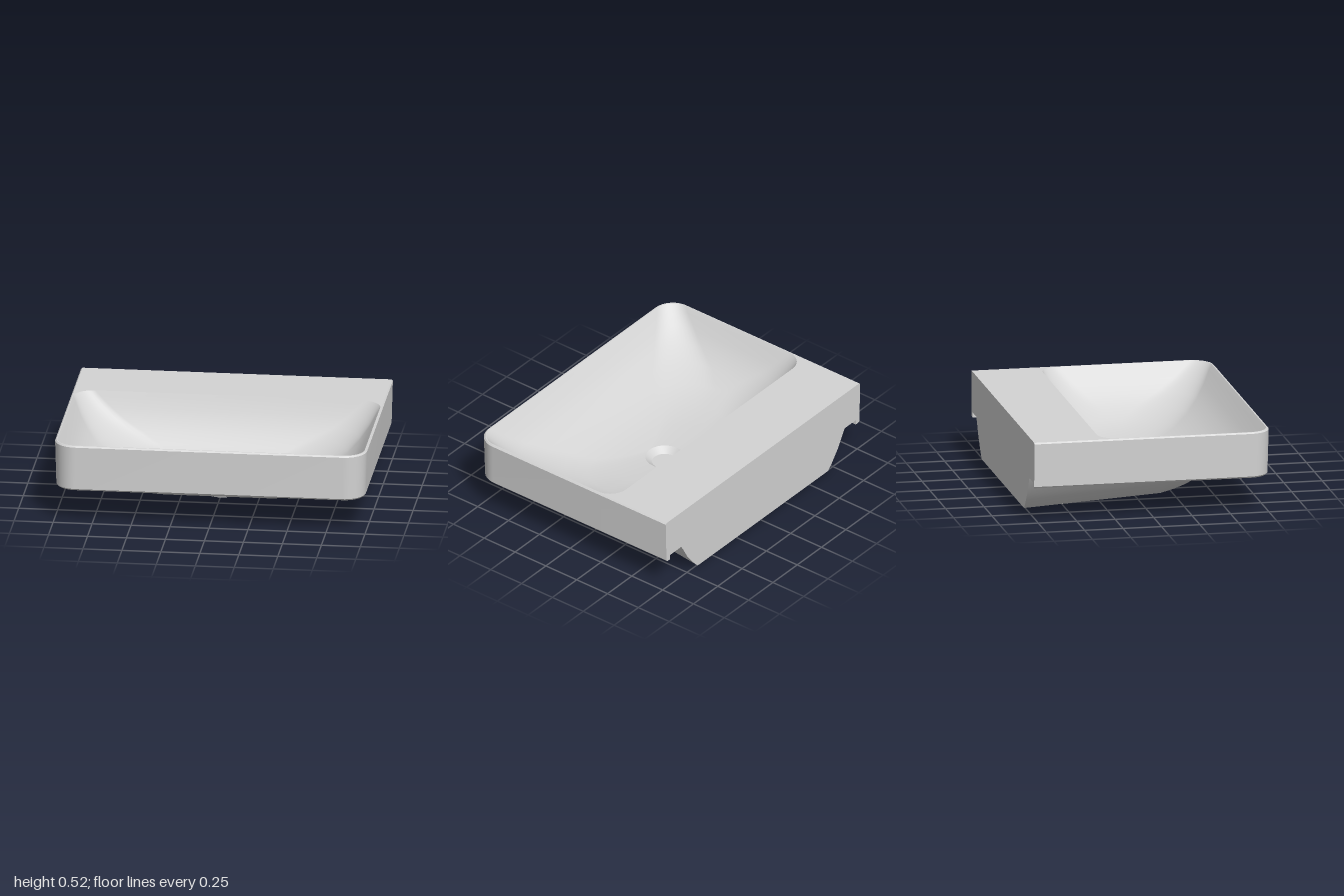
import * as THREE from 'three';
import { toCreasedNormals } from 'three/addons/utils/BufferGeometryUtils.js';

const BACK = -0.775, FRONT = 0.775, TOP = 0.525, LEDGE = 0.258;

// Corner arc in plan, points [x, z]
function arc(cx, cz, r, from, steps = 12) {
  return Array.from({ length: steps + 1 }, (_, i) => {
    const a = from + (i / steps) * Math.PI / 2;
    return [cx + r * Math.cos(a), cz + r * Math.sin(a)];
  });
}

// Plan outline running round the front, open at the square back, which may be wider
function openPath(hw, zf, r, hwBack = hw) {
  return [[hwBack, BACK], ...arc(hw - r, zf - r, r, 0), ...arc(r - hw, zf - r, r, Math.PI / 2), [-hwBack, BACK]];
}

// Closed rounded rectangle in plan
function closedPath(hw, zb, zf, r) {
  const p = [...arc(hw - r, zf - r, r, 0), ...arc(r - hw, zf - r, r, Math.PI / 2),
    ...arc(r - hw, zb + r, r, Math.PI), ...arc(hw - r, zb + r, r, Math.PI * 1.5)];
  return [...p, p[0]];
}

// Skin between successive rings of [x, y, z]
function loft(rings, crease) {
  const n = rings[0].length, index = [];
  for (let i = 0; i < rings.length - 1; i++) {
    for (let j = 0; j < n - 1; j++) {
      const a = i * n + j, b = a + n;
      index.push(a, b, a + 1, b, b + 1, a + 1);
    }
  }
  const g = new THREE.BufferGeometry();
  g.setAttribute('position', new THREE.Float32BufferAttribute(rings.flat(2), 3));
  g.setIndex(index);
  return toCreasedNormals(g, crease);
}

const toShape = (pts) => new THREE.Shape(pts.map(([x, y]) => new THREE.Vector2(x, y)));
const atHeight = (path, y) => path.map(([x, z]) => [x, y, z]);

// Underside height of the belly: nearly level, rising towards the front
const bottomY = (z) => (z < 0.13 ? 0.021 + (z - BACK) * 0.022 : 0.041 + (z - 0.13) * 0.18);

// Flat downward sheet in plan, raised by a height rule
function underSheet(pts, heightAt, hole) {
  const s = toShape(pts);
  if (hole) s.holes.push(toShape(hole));
  const g = new THREE.ShapeGeometry(s).rotateX(Math.PI / 2);
  const p = g.attributes.position;
  for (let i = 0; i < p.count; i++) p.setY(i, heightAt(p.getZ(i)));
  g.computeVertexNormals();
  return g;
}

export function createModel() {
  const model = new THREE.Group();
  model.name = 'washbasin';
  const ceramic = new THREE.MeshStandardMaterial({ color: 0xd4d4d4, side: THREE.DoubleSide });
  ceramic.name = 'grey ceramic';
  const add = (name, geometry) => {
    const mesh = new THREE.Mesh(geometry, ceramic);
    mesh.name = name;
    model.add(mesh);
    return mesh;
  };

  // Outer apron with the lip beneath and the softened top edge: [inset, y]
  const apron = [[0.045, LEDGE], [0.045, 0.225], [0.016, 0.225], [0.008, 0.235], [0, 0.516], [0.009, TOP]];
  const apronPath = (inset) => openPath(1 - inset, FRONT - inset, 0.145 - inset);
  add('apron', loft(apron.map(([inset, y]) => atHeight(apronPath(inset), y)), 0.3));

  // Bowl: [half width, back z, front z, corner radius, y], ending at the drain
  const bowl = [
    [0.985, -0.34, 0.758, 0.13, TOP], [0.965, -0.33, 0.735, 0.14, 0.495],
    [0.925, -0.305, 0.685, 0.18, 0.425], [0.87, -0.275, 0.62, 0.22, 0.355],
    [0.8, -0.24, 0.535, 0.27, 0.29], [0.7, -0.2, 0.43, 0.28, 0.23],
    [0.56, -0.165, 0.32, 0.22, 0.19], [0.35, -0.135, 0.22, 0.165, 0.168],
    [0.125, -0.105, 0.145, 0.125, 0.155],
  ];
  add('bowl', loft(bowl.map(([hw, zb, zf, r, y]) => atHeight(closedPath(hw, zb, zf, r), y)), 0.6));

  // Top deck with the bowl opening
  const flip = ([x, z]) => [x, -z];
  const deck = toShape(apronPath(0.009).map(flip));
  deck.holes.push(toShape(closedPath(0.985, -0.34, 0.758, 0.13).map(flip)));
  add('topDeck', new THREE.ShapeGeometry(deck).rotateX(-Math.PI / 2).translate(0, TOP, 0));

  // Belly sides: [half width, front z, corner radius, half width at back, rise], bottom to ledge
  const belly = [
    [0.53, 0.36, 0.23, 0.67, 0], [0.6, 0.395, 0.27, 0.7, 0.12], [0.67, 0.43, 0.31, 0.73, 0.28],
    [0.74, 0.475, 0.36, 0.775, 0.52], [0.81, 0.522, 0.4, 0.82, 0.86], [0.835, 0.535, 0.41, 0.84, 1],
  ];
  const bellyRings = belly.map(([hw, zf, r, hwBack, t]) =>
    openPath(hw, zf, r, hwBack).map(([x, z]) => [x, THREE.MathUtils.lerp(bottomY(z), LEDGE, t), z]));
  add('belly', loft(bellyRings, 0.6));

  // Recessed ledge between the lip and the belly
  add('undersideLedge', underSheet([...apronPath(0.045), ...openPath(0.835, 0.535, 0.41, 0.84).reverse()], () => LEDGE));

  // Belly bottom: rear part with the U-shaped pocket opening, front part rising
  const pocket = [[0.375, -0.625], [0.375, -0.08], [0.13, -0.08], [0.13, -0.45],
    [-0.13, -0.45], [-0.13, -0.08], [-0.375, -0.08], [-0.375, -0.625]];
  add('bellyBottomRear', underSheet([[0.67, BACK], [0.53, 0.13], [-0.53, 0.13], [-0.67, BACK]], bottomY, pocket));
  add('bellyBottomFront', underSheet(openPath(0.53, 0.36, 0.23).slice(1, -1), bottomY));

  // Pocket ceiling follows the underside of the bowl: [z, y]
  const ceiling = [[-0.625, 0.46], [-0.34, 0.46], [-0.305, 0.385], [-0.275, 0.315], [-0.24, 0.25], [-0.2, 0.195], [-0.165, 0.16], [-0.13, 0.135], [-0.08, 0.12]];
  const ceilingY = (z) => {
    const i = Math.max(1, ceiling.findIndex(([cz]) => cz >= z - 1e-6));
    const [z0, y0] = ceiling[i - 1], [z1, y1] = ceiling[i];
    return y0 + (y1 - y0) * (z - z0) / (z1 - z0);
  };
  const rim = [];
  pocket.forEach(([x, z], i) => {
    const [nx, nz] = pocket[(i + 1) % pocket.length];
    for (let k = 0; k < 16; k++) rim.push([x + (nx - x) * k / 16, z + (nz - z) * k / 16]);
  });
  rim.push(rim[0]);
  add('pocketWalls', loft([rim.map(([x, z]) => [x, ceilingY(z), z]), rim.map(([x, z]) => [x, bottomY(z), z])], 0.5));
  const strip = (x0, x1, rows) => loft(rows.map(([z, y]) => [[x0, y, z], [x1, y, z]]), 0.5);
  add('pocketCeilingLeft', strip(0.375, 0.13, ceiling));
  add('pocketCeilingRight', strip(-0.13, -0.375, ceiling));
  add('pocketCeilingMiddle', strip(0.13, -0.13, [[-0.625, 0.46], [-0.45, 0.46]]));

  // Flat back wall, closing slab and belly
  const half = [...apron.map(([inset, y]) => [1 - inset, y]).reverse(),
    ...bellyRings.map((ring) => [ring[0][0], ring[0][1]]).reverse()];
  const backShape = toShape([...half, ...half.map(([x, y]) => [-x, y]).reverse()]);
  add('backWall', new THREE.ShapeGeometry(backShape).rotateY(Math.PI).translate(0, 0, BACK));

  // Drain: bevelled seat inside the bowl and short outlet below
  const lathe = (pts) => toCreasedNormals(new THREE.LatheGeometry(pts.map(([r, y]) => new THREE.Vector2(r, y)), 48), 0.4);
  add('drainSeat', lathe([[0.125, 0.155], [0.082, 0.12], [0, 0.12]])).position.z = 0.02;
  add('drainOutlet', lathe([[0, 0], [0.117, 0], [0.126, 0.05]])).position.z = 0.02;

  return model;
}
